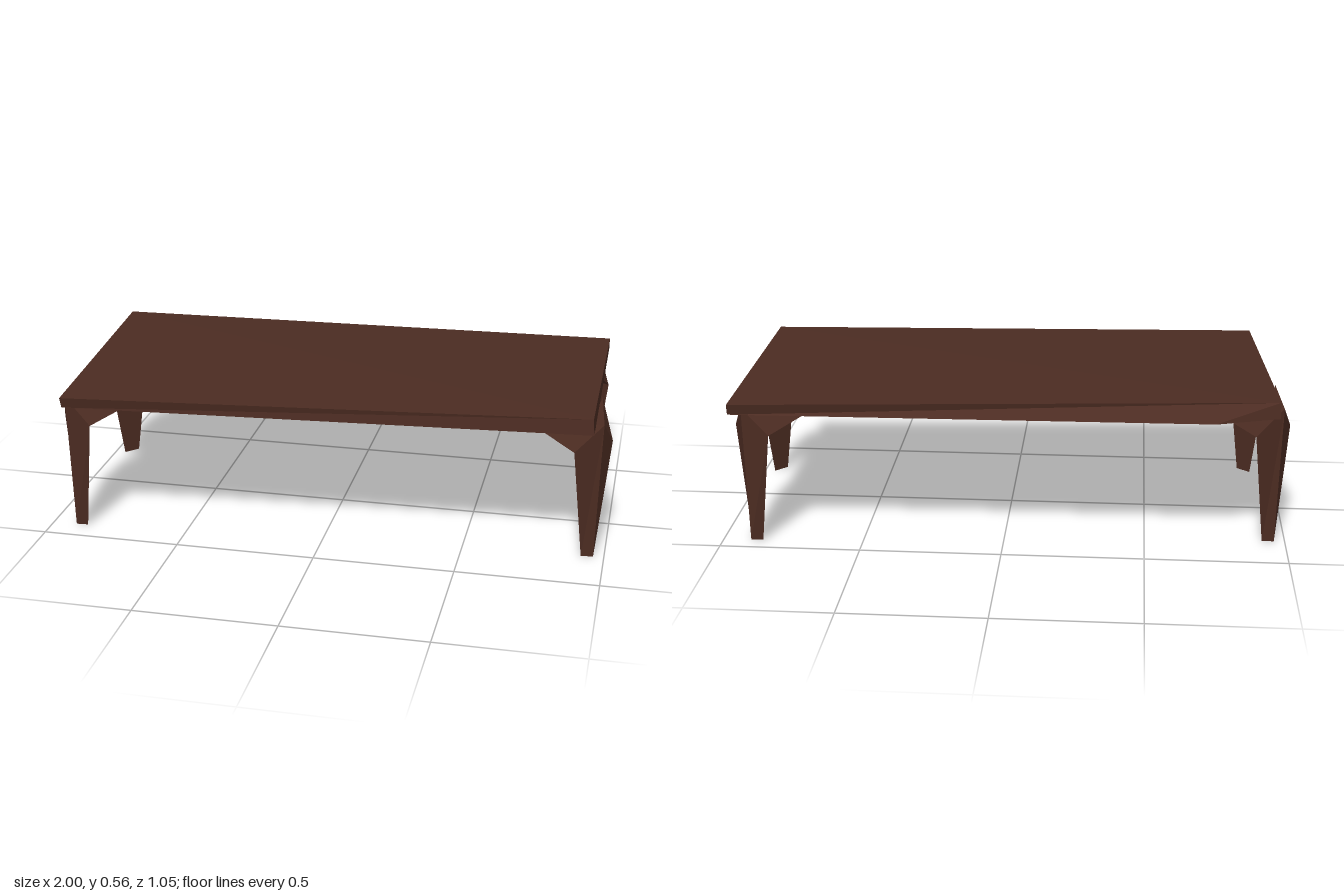
import * as THREE from 'three';

const wood = new THREE.MeshStandardMaterial({ name: 'darkWood', color: 0x4c2c22 });

// Flat-faced solid: named corners, and convex faces as counter-clockwise corner lists
function facetMesh(name, corners, faces) {
  const pos = [];
  for (const face of faces) {
    for (let i = 1; i < face.length - 1; i++) {
      pos.push(...corners[face[0]], ...corners[face[i]], ...corners[face[i + 1]]);
    }
  }
  const geo = new THREE.BufferGeometry();
  geo.setAttribute('position', new THREE.Float32BufferAttribute(pos, 3));
  geo.computeVertexNormals();
  const mesh = new THREE.Mesh(geo, wood);
  mesh.name = name;
  return mesh;
}

// Crooked board, ridged along one diagonal, with one lower corner cut
function makeTableTop() {
  const corners = {
    frontRightTop: [-0.9, 0.538, 0.523], frontLeftTop: [0.94, 0.555, 0.378],
    backLeftTop: [0.94, 0.538, -0.525], backRightTop: [-0.95, 0.555, -0.41],
    frontRight: [-0.897, 0.5, 0.515], frontLeft: [0.945, 0.5, 0.385],
    backLeft: [0.94, 0.5, -0.517], cutBack: [-0.73, 0.5, -0.492], cutSide: [-0.95, 0.5, -0.42],
  };
  return facetMesh('tableTop', corners, [
    ['frontRightTop', 'frontLeftTop', 'backRightTop'],
    ['frontLeftTop', 'backLeftTop', 'backRightTop'],
    ['frontRight', 'frontLeft', 'frontLeftTop', 'frontRightTop'],
    ['frontLeft', 'backLeft', 'backLeftTop', 'frontLeftTop'],
    ['backLeft', 'cutBack', 'backRightTop', 'backLeftTop'],
    ['cutBack', 'cutSide', 'backRightTop'],
    ['cutSide', 'frontRight', 'frontRightTop', 'backRightTop'],
    ['cutSide', 'cutBack', 'backLeft', 'frontLeft', 'frontRight'],
  ]);
}

// Tapered triangular leg with two bracket wings; local +x points outward
function makeLeg(name) {
  const corners = { ridgeFoot: [0.03, 0, 0], ridgeTop: [0.044, 0.503, 0] };
  for (const [tag, s] of [['+', 1], ['-', -1]]) {
    corners['foot' + tag] = [0, 0, 0.031 * s];
    corners['knee' + tag] = [0, 0.41, 0.092 * s];
    corners['tip' + tag] = [-0.15, 0.503, 0.184 * s];
    corners['inner' + tag] = [-0.06, 0.503, 0.06 * s];
  }
  const faces = [
    ['foot-', 'foot+', 'knee+', 'knee-'],
    ['knee-', 'knee+', 'inner+', 'inner-'],
    ['ridgeFoot', 'foot+', 'foot-'],
    ['ridgeTop', 'inner-', 'inner+'],
  ];
  const half = [
    ['ridgeTop', 'knee+', 'foot+', 'ridgeFoot'],
    ['ridgeTop', 'tip+', 'knee+'],
    ['knee+', 'tip+', 'inner+'],
    ['ridgeTop', 'inner+', 'tip+'],
  ];
  for (const face of half) {
    faces.push(face, face.map((n) => n.replace('+', '-')).reverse());
  }
  return facetMesh(name, corners, faces);
}

export function createModel() {
  const table = new THREE.Group();
  table.name = 'table';
  table.add(makeTableTop());

  // name, x, z, outward direction
  const legs = [
    ['frontLeftLeg', 0.94, 0.263, 0.747, 0.664],
    ['backLeftLeg', 0.882, -0.415, 0.64, -0.77],
    ['backRightLeg', -0.94, -0.291, -0.72, -0.69],
    ['frontRightLeg', -0.893, 0.388, -0.65, 0.76],
  ];
  for (const [name, x, z, dx, dz] of legs) {
    const leg = makeLeg(name);
    leg.position.set(x, 0, z);
    leg.rotation.y = -Math.atan2(dz, dx);
    table.add(leg);
  }
  return table;
}
